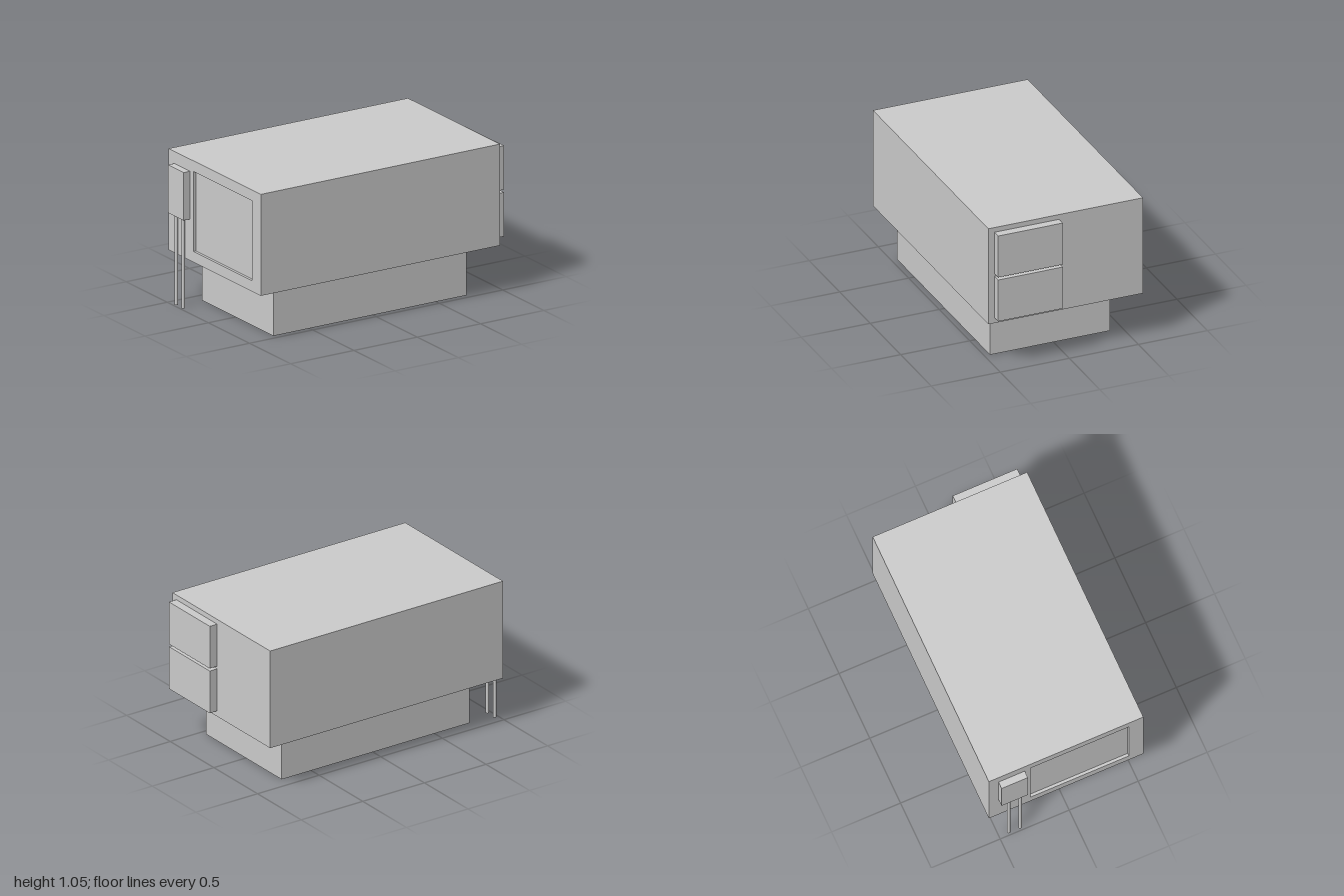
import * as THREE from 'three';

const material = new THREE.MeshStandardMaterial({ color: 0xcccccc });

export function createModel() {
  const model = new THREE.Group();

  const add = (name, geometry) => {
    const mesh = new THREE.Mesh(geometry, material);
    mesh.name = name;
    model.add(mesh);
    return mesh;
  };

  // Box given by its extents on each axis
  const addBox = (name, [x0, x1], [y0, y1], [z0, z1]) =>
    add(name, new THREE.BoxGeometry(x1 - x0, y1 - y0, z1 - z0))
      .position.set((x0 + x1) / 2, (y0 + y1) / 2, (z0 + z1) / 2);

  const rectangle = (Type, x0, x1, y0, y1) => new Type([
    new THREE.Vector2(x0, y0), new THREE.Vector2(x1, y0),
    new THREE.Vector2(x1, y1), new THREE.Vector2(x0, y1),
  ]);

  // Main housing on its narrower plinth
  addBox('plinth', [-0.785, 0.74], [0, 0.34], [-0.41, 0.46]);
  addBox('housing', [-0.93, 0.94], [0.34, 1.05], [-0.56, 0.56]);

  // Rim that leaves a shallow recess in the -x end
  const rim = rectangle(THREE.Shape, -0.56, 0.56, 0.34, 1.05);
  rim.holes.push(rectangle(THREE.Path, -0.26, 0.455, 0.415, 0.975));
  const frame = add('recessFrame', new THREE.ExtrudeGeometry(rim, { depth: 0.02, bevelEnabled: false }));
  frame.rotation.y = -Math.PI / 2;
  frame.position.x = -0.93;

  // Two stacked panels on the +x end
  for (const [name, y0, y1] of [['lowerPanel', 0.38, 0.688], ['upperPanel', 0.707, 1.015]]) {
    addBox(name, [0.94, 1], [y0, y1], [0.047, 0.515]);
  }

  // Connection box on the -x end with two pipes down to the ground
  addBox('connectionBox', [-1, -0.95], [0.63, 0.965], [-0.49, -0.3]);
  for (const z of [-0.428, -0.345]) {
    add('pipe', new THREE.CylinderGeometry(0.012, 0.012, 0.63, 16)).position.set(-0.975, 0.315, z);
  }

  return model;
}
